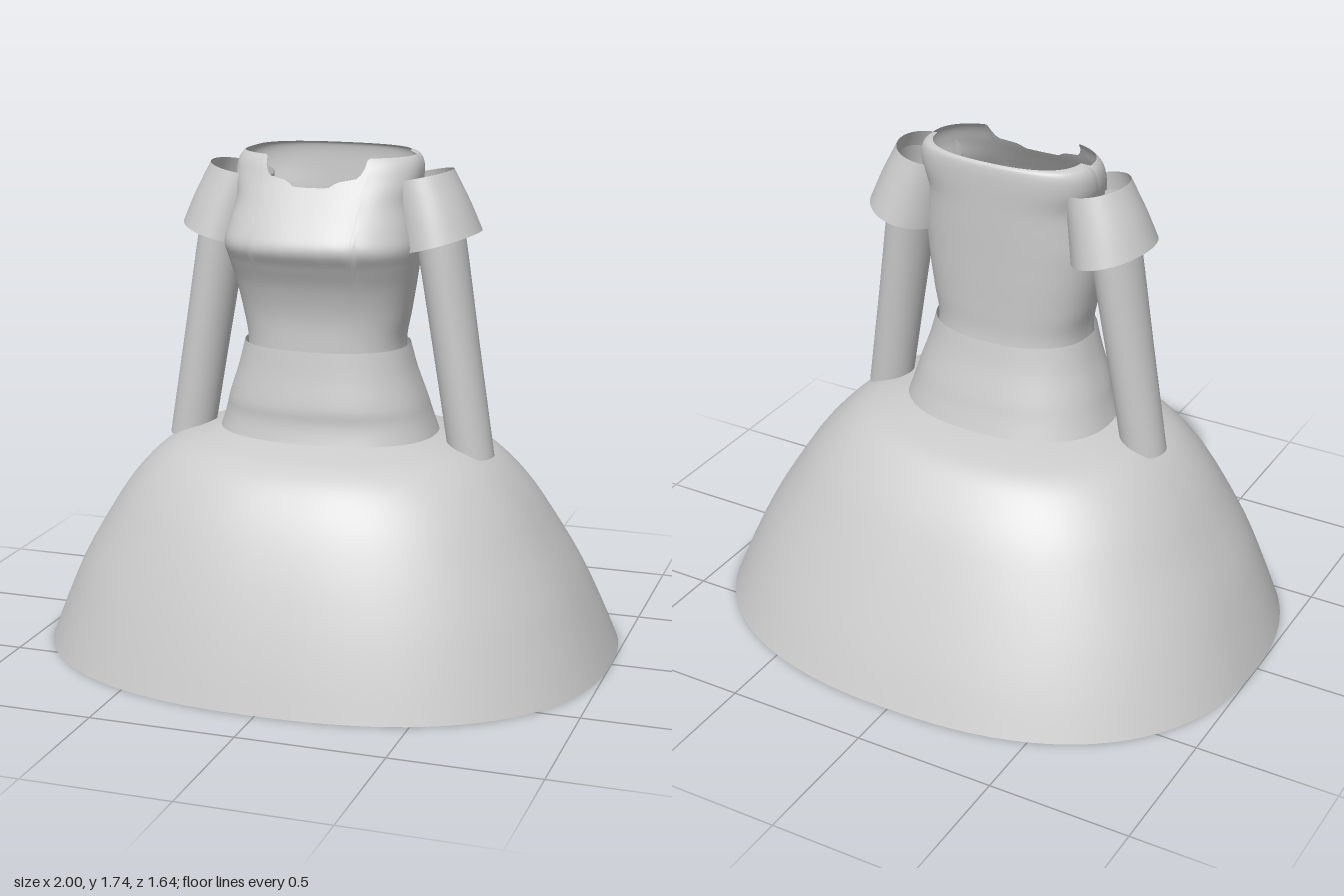
import * as THREE from 'three';

const material = new THREE.MeshStandardMaterial({ color: 0xcccccc, side: THREE.DoubleSide });

// Smooth value of one ring component at fractional ring index t
function sample(rings, t, k) {
  const i = Math.min(Math.floor(t), rings.length - 2);
  const f = t - i;
  const p = (j) => rings[Math.max(0, Math.min(rings.length - 1, j))][k] ?? 0;
  const a = p(i), b = p(i + 1);
  const ma = (b - p(i - 1)) / 2, mb = (p(i + 2) - a) / 2;
  const f2 = f * f, f3 = f2 * f;
  return (2 * f3 - 3 * f2 + 1) * a + (f3 - 2 * f2 + f) * ma + (3 * f2 - 2 * f3) * b + (f3 - f2) * mb;
}

// Open shell through superellipse rings [y, centre x, half width, front z, back z, tilt].
// topEdge(cos, sin) optionally trims the upper edge to a height.
function shell(name, rings, { power = 2, segments = 96, perRing = 6, topEdge } = {}) {
  const rows = (rings.length - 1) * perRing;
  const last = rings.length - 1;
  const positions = [], index = [];
  const limits = [];
  for (let j = 0; j < segments; j++) {
    const a = (j / segments) * Math.PI * 2;
    let hi = last;
    if (topEdge) {
      let lo = 0;
      const height = topEdge(Math.cos(a), Math.sin(a));
      for (let n = 0; n < 24; n++) {
        const mid = (lo + hi) / 2;
        if (sample(rings, mid, 0) < height) lo = mid; else hi = mid;
      }
    }
    limits.push(hi);
  }
  const bend = (v) => Math.sign(v) * Math.abs(v) ** (2 / power);
  for (let r = 0; r <= rows; r++) {
    for (let j = 0; j < segments; j++) {
      const a = (j / segments) * Math.PI * 2;
      const t = (r / rows) * limits[j];
      const [y, cx, hx, zf, zb, tilt] = [0, 1, 2, 3, 4, 5].map((k) => sample(rings, t, k));
      const c = bend(Math.cos(a)), s = bend(Math.sin(a));
      positions.push(cx + hx * c, y + tilt * c, (zf + zb) / 2 + ((zf - zb) / 2) * s);
      if (r < rows) {
        const p = r * segments + j, q = r * segments + ((j + 1) % segments);
        index.push(p, p + segments, q, q, p + segments, q + segments);
      }
    }
  }
  const geometry = new THREE.BufferGeometry();
  geometry.setAttribute('position', new THREE.Float32BufferAttribute(positions, 3));
  geometry.setIndex(index);
  geometry.computeVertexNormals();
  const mesh = new THREE.Mesh(geometry, material);
  mesh.name = name;
  return mesh;
}

// Scalloped front neckline: [distance from middle, height]
const NECK = [[0, 1.635], [0.06, 1.637], [0.085, 1.655], [0.15, 1.668], [0.165, 1.695], [0.18, 1.73], [1, 1.74]];
function neckline(c, s) {
  if (s < 0) return 1.74;
  const x = 0.31 * Math.abs(c) ** 0.8;
  const i = NECK.findIndex((p) => p[0] > x);
  const [x0, y0] = NECK[i - 1], [x1, y1] = NECK[i];
  return y0 + ((x - x0) / (x1 - x0)) * (y1 - y0);
}

export function createModel() {
  const group = new THREE.Group();
  group.name = 'dress';

  // Wide bell skirt
  group.add(shell('skirt', [
    [0, 0, 1, 0.82, -0.82],
    [0.15, 0, 0.94, 0.778, -0.757],
    [0.3, 0, 0.872, 0.73, -0.685],
    [0.45, 0, 0.785, 0.673, -0.607],
    [0.58, 0, 0.7, 0.61, -0.53],
    [0.68, 0, 0.61, 0.54, -0.45],
    [0.735, 0, 0.53, 0.47, -0.385],
    [0.762, 0, 0.45, 0.40, -0.31],
    [0.785, 0, 0.36, 0.32, -0.21],
  ], { power: 2.35 }));

  // Hip layer flaring down inside the skirt
  group.add(shell('underskirt', [
    [0, 0, 0.68, 0.59, -0.49],
    [0.4, 0, 0.52, 0.46, -0.36],
    [0.78, 0, 0.38, 0.335, -0.225],
    [0.9, 0, 0.343, 0.322, -0.188],
    [1, 0, 0.309, 0.305, -0.157],
    [1.09, 0, 0.285, 0.293, -0.137],
  ], { power: 2.3 }));

  // Bodice with its straight inner lining reaching the hem
  group.add(shell('bodice', [
    [0, 0, 0.37, 0.34, -0.24],
    [0.4, 0, 0.365, 0.33, -0.23],
    [0.75, 0, 0.345, 0.31, -0.2],
    [0.95, 0, 0.29, 0.285, -0.15],
    [1.09, 0, 0.27, 0.28, -0.125],
    [1.2, 0, 0.288, 0.283, -0.125],
    [1.3, 0, 0.307, 0.31, -0.128],
    [1.38, 0, 0.322, 0.35, -0.13],
    [1.44, 0, 0.33, 0.38, -0.132],
    [1.5, 0, 0.32, 0.355, -0.134],
    [1.58, 0, 0.306, 0.3, -0.136],
    [1.65, 0, 0.32, 0.25, -0.138],
    [1.7, 0, 0.318, 0.222, -0.138],
    [1.73, 0, 0.3, 0.2, -0.134],
    [1.74, 0, 0.27, 0.185, -0.125],
  ], { power: 2.5, segments: 144, perRing: 5, topEdge: neckline }));

  // Sleeves and flared shoulder caps, mirrored
  for (const [label, s] of [['left', 1], ['right', -1]]) {
    group.add(shell(label + 'Sleeve', [
      [0.715, 0.51 * s, 0.077, 0.14, -0.015, 0.005 * s],
      [1.1, 0.447 * s, 0.079, 0.146, -0.038],
      [1.47, 0.385 * s, 0.083, 0.15, -0.06],
      [1.62, 0.345 * s, 0.085, 0.14, -0.06, 0.02 * s],
    ], { segments: 48 }));
    group.add(shell(label + 'ShoulderCap', [
      [1.445, 0.388 * s, 0.134, 0.218, -0.135, 0.038 * s],
      [1.55, 0.358 * s, 0.122, 0.195, -0.11, 0.03 * s],
      [1.665, 0.318 * s, 0.107, 0.168, -0.082, 0.022 * s],
    ], { segments: 48 }));
  }
  return group;
}
